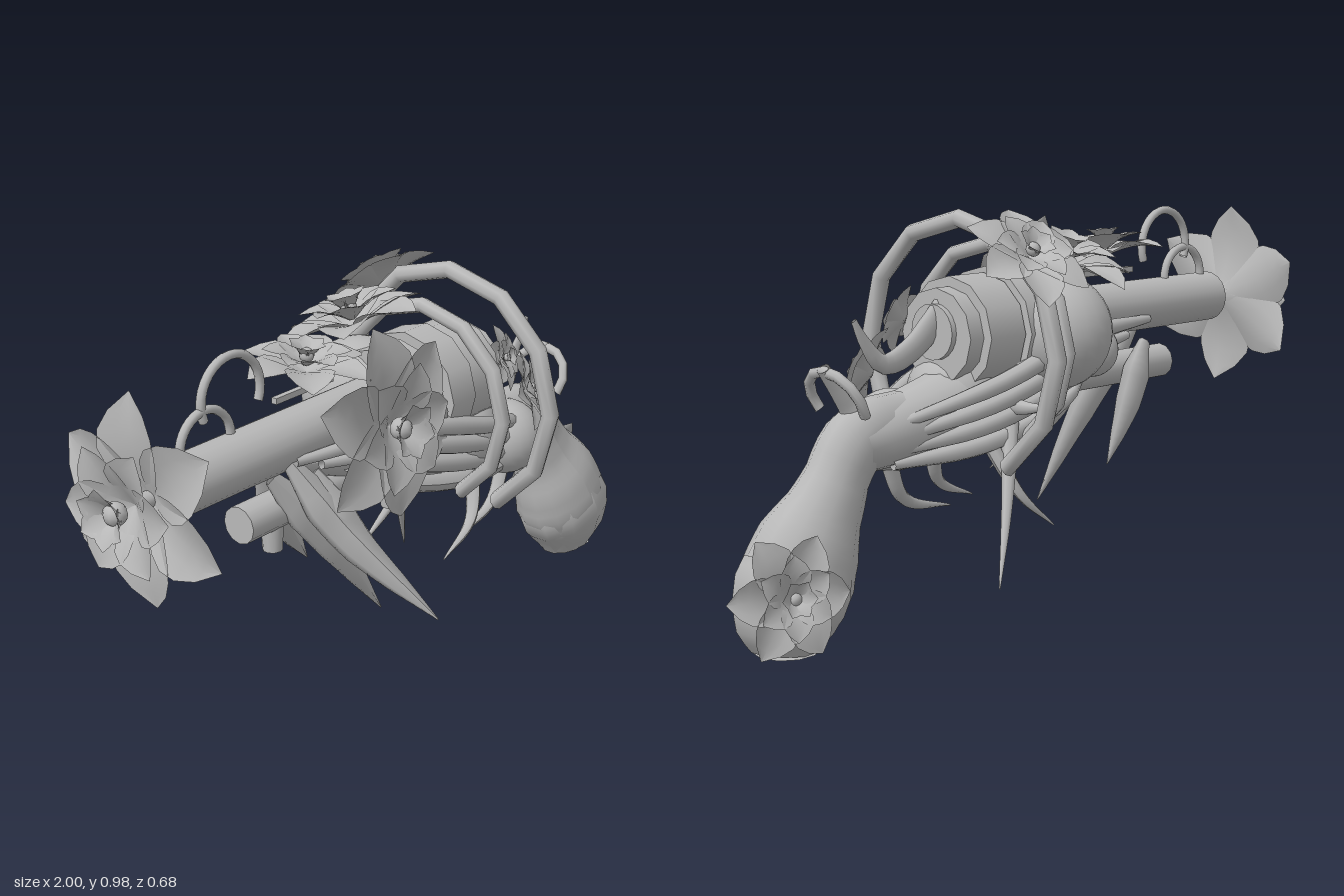
import * as THREE from 'three';

export function createModel() {
  const model = new THREE.Group();
  model.name = 'floralPistol';
  const stone = new THREE.MeshStandardMaterial({ color: 0xb8b8b8, side: THREE.DoubleSide });
  stone.name = 'stone grey';
  const V = (a) => new THREE.Vector3(...a);

  function add(name, geo, pos = [0, 0, 0], rot = [0, 0, 0], parent = model) {
    const m = new THREE.Mesh(geo, stone);
    m.name = name;
    m.position.set(...pos);
    m.rotation.set(...rot);
    parent.add(m);
    return m;
  }

  // Tube along points whose radius follows a list of values
  function taper(name, pts, radii, { seg = 16, sides = 10, flatZ = 1 } = {}) {
    const curve = new THREE.CatmullRomCurve3(pts.map(V));
    const geo = new THREE.TubeGeometry(curve, seg, 1, sides);
    const p = geo.attributes.position;
    const v = new THREE.Vector3();
    for (let i = 0; i <= seg; i++) {
      const c = curve.getPointAt(i / seg);
      const f = (i / seg) * (radii.length - 1);
      const k = Math.min(Math.floor(f), radii.length - 2);
      const r = THREE.MathUtils.lerp(radii[k], radii[k + 1], f - k);
      for (let j = 0; j <= sides; j++) {
        const n = i * (sides + 1) + j;
        v.fromBufferAttribute(p, n).sub(c).multiplyScalar(r);
        v.z *= flatZ;
        v.add(c);
        p.setXYZ(n, v.x, v.y, v.z);
      }
    }
    geo.computeVertexNormals();
    return add(name, geo);
  }

  // Cupped pointed petal lying along +y, opening towards +z
  function petal(len, width) {
    const geo = new THREE.PlaneGeometry(1, 1, 4, 6);
    const p = geo.attributes.position;
    for (let i = 0; i < p.count; i++) {
      const t = p.getY(i) + 0.5;
      const s = p.getX(i) * 2;
      const w = width * (0.16 * (1 - t) + Math.pow(Math.sin(Math.PI * Math.pow(t, 1.15)), 0.8));
      p.setXYZ(i, s * w * 0.5, t * len, len * (0.1 * s * s * Math.sin(Math.PI * t) + 0.1 * Math.sin(Math.PI * t * 0.9) - 0.06 * t));
    }
    geo.computeVertexNormals();
    return geo;
  }

  // Layered blossom facing a direction; lift spaces the layers
  function flower(name, pos, normal, r, turn = 0, lift = 0.1) {
    const count = 6;
    const g = new THREE.Group();
    g.name = name;
    g.position.set(...pos);
    g.quaternion.setFromUnitVectors(new THREE.Vector3(0, 0, 1), V(normal).normalize());
    [[1, 0.12, 0.66], [0.68, 0.38, 0.48], [0.38, 0.75, 0.28]].forEach(([size, tilt, width], layer) => {
      const geo = petal(r * size, r * width);
      for (let i = 0; i < count; i++) {
        const a = turn + ((i + layer * 0.5) / count) * Math.PI * 2;
        const m = add('petal', geo, [0, 0, layer * r * lift], [0, 0, 0], g);
        m.rotation.set(tilt, 0, a, 'ZXY');
      }
    });
    add('flowerHeart', new THREE.SphereGeometry(r * 0.11, 10, 8), [0, 0, r * (lift * 2 + 0.06)], [0, 0, 0], g);
    model.add(g);
  }

  const alongX = [0, 0, Math.PI / 2];

  // Barrel, muzzle stem and under-rod
  add('barrel', new THREE.CylinderGeometry(0.068, 0.068, 1.09, 20), [-0.245, 0.69, 0.01], alongX);
  add('muzzleStem', new THREE.CylinderGeometry(0.02, 0.02, 0.12, 12), [-0.83, 0.69, 0.01], alongX);
  add('underRod', new THREE.CylinderGeometry(0.046, 0.046, 0.7, 12), [-0.23, 0.53, 0.01], alongX);
  add('rodFoot', new THREE.CylinderGeometry(0.03, 0.024, 0.1, 10), [-0.47, 0.48, 0.01]);
  add('rodFoot', new THREE.CylinderGeometry(0.03, 0.026, 0.12, 10), [-0.03, 0.45, 0.01]);

  // Sight loops on top of the barrel
  add('sightLoop', new THREE.TorusGeometry(0.095, 0.011, 8, 20, Math.PI * 1.25), [-0.58, 0.845, 0], [0, 0, -Math.PI * 0.125]);
  add('sightLoop', new THREE.TorusGeometry(0.08, 0.011, 8, 16, Math.PI), [-0.665, 0.755, 0]);
  add('sightBar', new THREE.BoxGeometry(0.2, 0.015, 0.015), [-0.34, 0.79, 0]);

  // Drum made of stepped plates
  [[-0.04, 0.1, 0.14], [0.07, 0.09, 0.155], [0.18, 0.12, 0.14], [0.26, 0.05, 0.115]].forEach(([x, w, r]) =>
    add('drumPlate', new THREE.CylinderGeometry(r, r, w, 12), [x, 0.68, 0.01], alongX));

  // Round bulbs on the far side and under the frame
  [[-0.03, 0.67, -0.09, 0.145], [-0.17, 0.61, -0.09, 0.07], [0.39, 0.46, 0.06, 0.1], [0.2, 0.53, 0.03, 0.12]].forEach(([x, y, z, r]) =>
    add('bulb', new THREE.SphereGeometry(r, 24, 16), [x, y, z]));

  // Frame sweeping down into the handle
  taper('frame', [[-0.42, 0.63, 0.01], [-0.1, 0.58, 0.01], [0.2, 0.51, 0.01], [0.56, 0.45, 0.01]],
    [0.02, 0.07, 0.11, 0.11, 0.09, 0.07], { sides: 14 });
  taper('handle', [[0.4, 0.49, 0.01], [0.55, 0.46, 0.01], [0.64, 0.33, 0.01], [0.71, 0.2, 0.02], [0.75, 0.09, 0.02], [0.765, 0.01, 0.02]],
    [0.075, 0.08, 0.085, 0.083, 0.1, 0.132, 0.145, 0.13, 0.085], { seg: 24, sides: 14, flatZ: 0.8 });
  taper('pommelCap', [[0.72, 0.2, 0.02], [0.755, 0.09, 0.02], [0.765, 0.008, 0.02]],
    [0.14, 0.152, 0.145, 0.125, 0.085], { seg: 8, sides: 10, flatZ: 0.8 });
  add('pommelBase', new THREE.CircleGeometry(0.075, 10), [0.765, 0.008, 0.015], [Math.PI / 2, 0, 0]);

  // Vines wrapped along both sides of the frame
  for (const s of [1, -1]) {
    for (let i = 0; i < 4; i++) {
      taper('vine', [
        [-0.45 + i * 0.09, 0.66 - i * 0.035, 0.01 + s * 0.06],
        [-0.1, 0.65 - i * 0.05, 0.01 + s * (0.125 - i * 0.012)],
        [0.2, 0.57 - i * 0.05, 0.01 + s * (0.135 - i * 0.015)],
        [0.48, 0.49 - i * 0.03, 0.01 + s * 0.05],
      ], [0.012, 0.022, 0.026, 0.022, 0.012], { sides: 8 });
    }
  }

  // Two open hoops of straight segments around the drum
  [[0.2, 0.315, 0.023], [0.09, 0.25, 0.02]].forEach(([x, r, tube]) => {
    const hoop = add('hoop', new THREE.TorusGeometry(r, tube, 8, 10, Math.PI * 5 / 3), [x, 0.64, 0.015]);
    hoop.rotation.set(0, Math.PI / 2, -Math.PI / 3, 'YXZ');
  });

  // Collar, hammer and horn at the rear
  const collar = add('rearCollar', new THREE.TorusGeometry(0.083, 0.013, 8, 8, Math.PI * 1.25), [0.6, 0.56, 0.015]);
  collar.rotation.set(0.5, Math.PI / 2, -Math.PI * 0.125, 'YXZ');
  taper('hammer', [[0.54, 0.5, 0.01], [0.6, 0.58, 0.01], [0.645, 0.64, 0.01]], [0.035, 0.022, 0.018, 0.016]);
  taper('horn', [[0.25, 0.76, 0.01], [0.36, 0.66, 0.01], [0.46, 0.63, 0.01], [0.52, 0.69, 0.01], [0.55, 0.74, 0.01]],
    [0.03, 0.035, 0.03, 0.02, 0.008], { flatZ: 0.5 });

  // Hanging thorn leaves
  [
    [[-0.46, 0.66, 0.06], [-0.36, 0.47, 0.14], [-0.22, 0.24, 0.31]],
    [[-0.5, 0.63, 0.04], [-0.34, 0.42, 0.08], [-0.18, 0.19, 0.1]],
    [[-0.4, 0.62, 0.08], [-0.32, 0.42, 0.16], [-0.2, 0.24, 0.24]],
    [[-0.45, 0.6, -0.04], [-0.36, 0.45, -0.06], [-0.25, 0.3, -0.08]],
  ].forEach((p) => taper('thornLeaf', p, [0.02, 0.05, 0.045, 0.026, 0.002], { sides: 6, flatZ: 0.5 }));
  [
    [[0.12, 0.48, -0.08], [0.21, 0.27, -0.15], [0.3, 0.1, -0.21]],
    [[0.2, 0.45, -0.06], [0.14, 0.29, -0.13], [0.04, 0.2, -0.15]],
    [[0.25, 0.42, 0.06], [0.19, 0.3, 0.1], [0.05, 0.24, 0.12]],
    [[0.42, 0.4, 0.04], [0.36, 0.29, 0.05], [0.18, 0.24, 0.07]],
    [[0.12, 0.5, -0.08], [0.16, 0.51, -0.18], [0.2, 0.53, -0.28]],
  ].forEach((p) => taper('tendril', p, [0.022, 0.018, 0.011, 0.002], { sides: 7 }));

  // Blossoms
  flower('muzzleFlower', [-0.845, 0.69, 0.01], [-1, 0, 0], 0.25, 0.1, 0.18);
  flower('sideFlower', [-0.2, 0.69, 0.115], [0, 0.05, 1], 0.25, 0.15);
  flower('barrelTopFlower', [-0.33, 0.83, 0], [0, 1, 0.1], 0.165, 0.3);
  flower('bulbFlower', [-0.01, 0.83, -0.12], [-0.1, 1, -0.3], 0.2, 0.2);
  flower('hoopFlower', [0.21, 0.865, -0.21], [0.1, 0.75, -0.66], 0.16, 0.5);
  flower('smallFlower', [0.3, 0.71, 0.1], [0.3, 0.3, 0.9], 0.09, 0);
  flower('frameFlower', [0.41, 0.59, 0.1], [0.45, 0.35, 0.8], 0.12, 0.4);
  flower('pommelFlower', [0.85, 0.17, -0.09], [0.25, 0.15, -1], 0.15, 0.5);

  return model;
}
